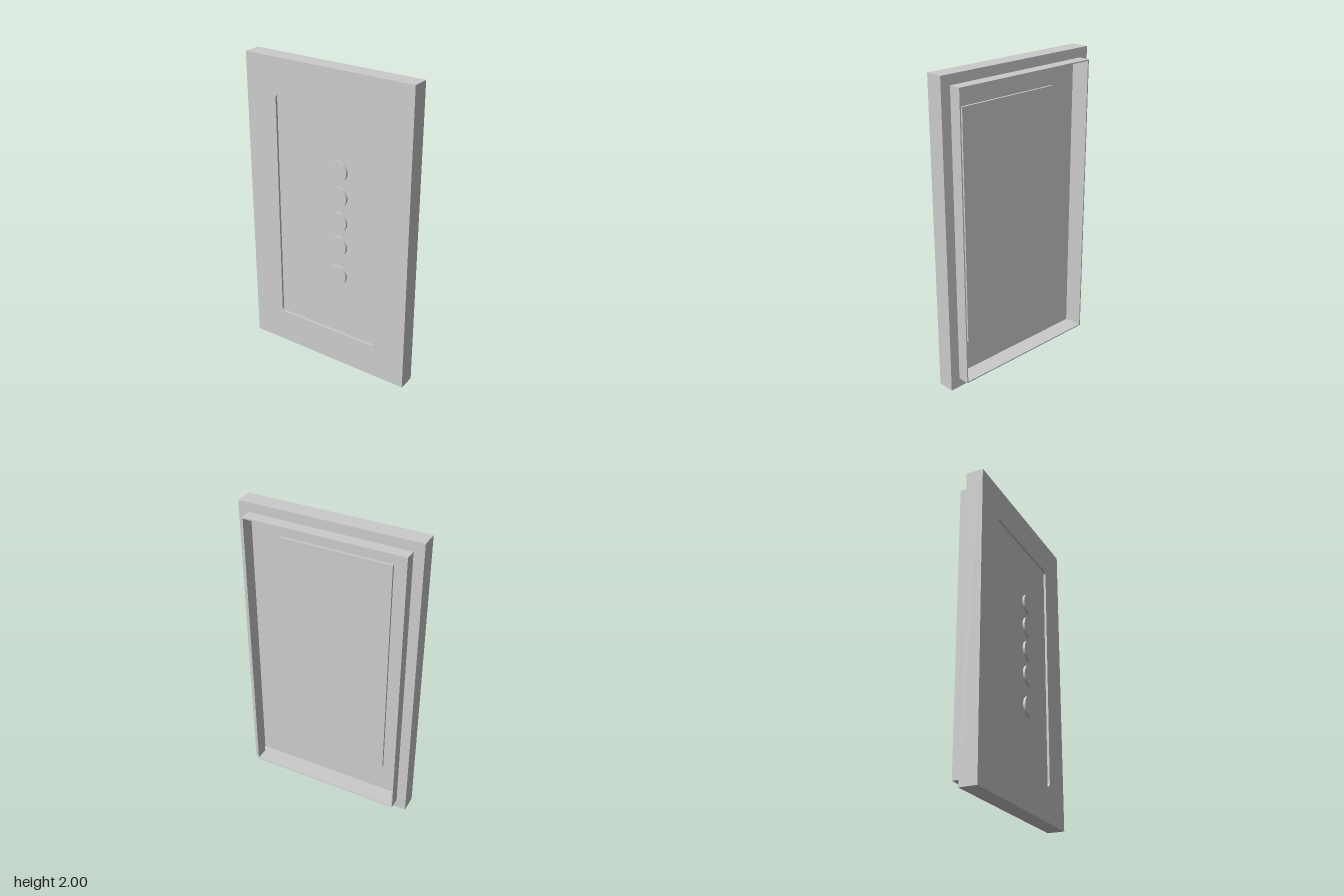
import * as THREE from 'three';

const grey = new THREE.MeshStandardMaterial({ color: 0xcccccc });

// Rectangle with optional rounded corners, centred on the origin
function rect(PathType, w, h, r = 0) {
  const p = new PathType(), x = w / 2, y = h / 2;
  if (r === 0) {
    p.moveTo(-x, -y).lineTo(x, -y).lineTo(x, y).lineTo(-x, y).closePath();
    return p;
  }
  p.absarc(x - r, -y + r, r, -Math.PI / 2, 0);
  p.absarc(x - r, y - r, r, 0, Math.PI / 2);
  p.absarc(-x + r, y - r, r, Math.PI / 2, Math.PI);
  p.absarc(-x + r, -y + r, r, Math.PI, Math.PI * 1.5);
  p.closePath();
  return p;
}

// Frame with a rectangular opening, spanning z0 to z1
function frame(name, [w, h], [iw, ih], z0, z1, r = 0) {
  const shape = rect(THREE.Shape, w, h);
  shape.holes.push(rect(THREE.Path, iw, ih, r));
  const geo = new THREE.ExtrudeGeometry(shape, { depth: z1 - z0, bevelEnabled: false, curveSegments: 8 });
  const mesh = new THREE.Mesh(geo, grey);
  mesh.name = name;
  mesh.position.set(0, 1, z0);
  return mesh;
}

export function createModel() {
  const group = new THREE.Group();
  group.name = 'wallPanel';

  const outer = [1.166, 2];
  const FRONT = 0.095, FACE_BACK = 0.08, SHELL_BACK = -0.018, RIM_BACK = -0.095;

  // Hollow cover: front face with window, side walls, back ledge
  group.add(frame('frontFace', outer, [0.734, 1.54], FACE_BACK, FRONT, 0.025));
  group.add(frame('sideWalls', outer, [1.13, 1.964], SHELL_BACK + 0.01, FACE_BACK));
  group.add(frame('backLedge', outer, [1.02, 1.86], SHELL_BACK, SHELL_BACK + 0.01));

  // Thin rim standing out of the back
  group.add(frame('backRim', [1.036, 1.876], [1.02, 1.86], RIM_BACK, SHELL_BACK));

  // Recessed panel behind the window
  const panel = new THREE.Mesh(new THREE.BoxGeometry(0.738, 1.544, 0.015), grey);
  panel.name = 'insetPanel';
  panel.position.set(0, 1, FACE_BACK - 0.0075);
  group.add(panel);

  // Column of round buttons
  const buttonGeo = new THREE.CylinderGeometry(0.066, 0.066, 0.015, 48).rotateX(Math.PI / 2);
  [1.375, 1.207, 1.039, 0.87, 0.662].forEach((y, i) => {
    const button = new THREE.Mesh(buttonGeo, grey);
    button.name = `button${i + 1}`;
    button.position.set(0.08, y, FACE_BACK + 0.0075);
    group.add(button);
  });

  return group;
}
